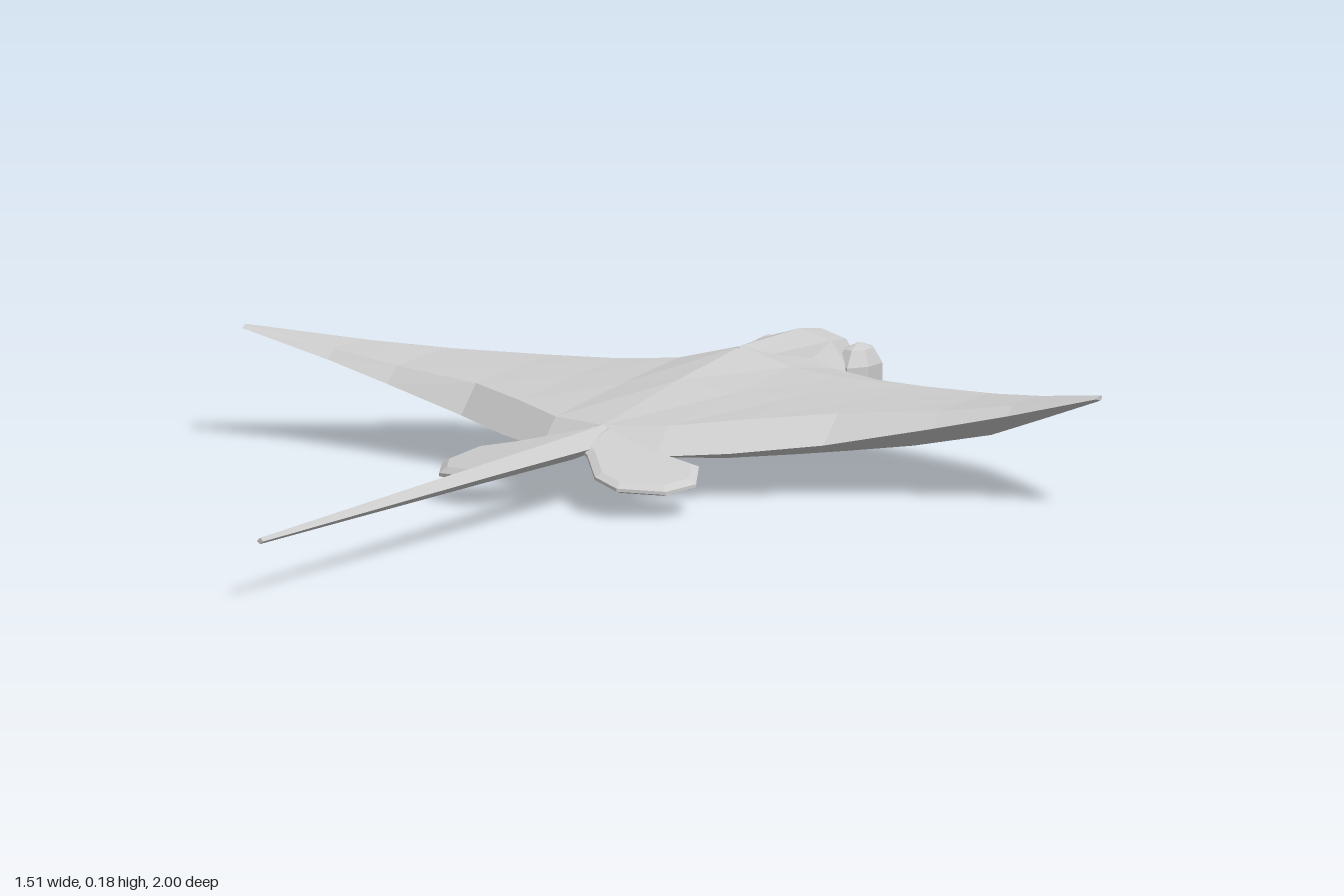
import * as THREE from 'three';

const skin = new THREE.MeshStandardMaterial({ color: 0xcccccc, flatShading: true });
skin.name = 'pale grey skin';

const mix = THREE.MathUtils.lerp;

// Closed skin through rings of [x, y, z] points, counterclockwise seen from the last ring's end
function loft(rings) {
  const n = rings[0].length, pos = [];
  const tri = (a, b, c) => pos.push(...a, ...b, ...c);
  for (let i = 0; i < rings.length - 1; i++) {
    for (let j = 0; j < n; j++) {
      const k = (j + 1) % n, p = rings[i], q = rings[i + 1];
      tri(p[j], p[k], q[j]);
      tri(p[k], q[k], q[j]);
    }
  }
  const first = rings[0], last = rings[rings.length - 1];
  for (let j = 1; j < n - 1; j++) {
    tri(first[0], first[j + 1], first[j]);
    tri(last[0], last[j], last[j + 1]);
  }
  const g = new THREE.BufferGeometry();
  g.setAttribute('position', new THREE.Float32BufferAttribute(pos, 3));
  g.computeVertexNormals();
  return g;
}

// Half-span stations: x, leading z/y, rear crest z/y, trailing z/y, upper y, lower y
const stations = [
  [0, -0.86, 0.09, -0.15, 0.115, -0.1, 0.075, 0.175, 0.005],
  [0.1, -0.81, 0.06, -0.18, 0.117, -0.13, 0.075, 0.152, 0.01],
  [0.2, -0.755, 0.062, -0.25, 0.125, -0.195, 0.078, 0.145, 0.026],
  [0.32, -0.7, 0.075, -0.33, 0.132, -0.28, 0.088, 0.143, 0.045],
  [0.48, -0.62, 0.105, -0.37, 0.142, -0.335, 0.118, 0.147, 0.08],
  [0.6, -0.525, 0.135, -0.385, 0.158, -0.365, 0.143, 0.16, 0.122],
  [0.755, -0.39, 0.18, -0.38, 0.185, -0.37, 0.181, 0.185, 0.177],
];

function wingRing([x, zl, yl, zr, yr, zt, yt, top, bot], side) {
  const X = x * side;
  return [
    [X, yl, zl],
    [X, mix(yl, top, 0.75), mix(zl, zr, 0.12)],
    [X, top, mix(zl, zr, 0.35)],
    [X, mix(top, yr, 0.4), mix(zl, zr, 0.65)],
    [X, yr, zr],
    [X, yt, zt],
    [X, mix(bot, yt, 0.45), mix(zl, zt, 0.65)],
    [X, bot, mix(zl, zt, 0.28)],
  ];
}

// Head sections: z, half width, bottom y, top y
const headSections = [
  [-1, 0.025, 0.06, 0.088],
  [-0.97, 0.045, 0.052, 0.105],
  [-0.92, 0.06, 0.04, 0.138],
  [-0.88, 0.08, 0.028, 0.165],
  [-0.81, 0.1, 0.014, 0.175],
  [-0.6, 0.06, 0.03, 0.175],
];

function headRing([z, w, b, t]) {
  const m = mix(b, t, 0.5);
  return [
    [0, t, z], [-0.55 * w, mix(b, t, 0.9), z], [-w, m, z], [-0.8 * w, mix(b, t, 0.15), z],
    [0, b, z], [0.8 * w, mix(b, t, 0.15), z], [w, m, z], [0.55 * w, mix(b, t, 0.9), z],
  ];
}

// Tail sections: z, half width, bottom y, top y
const tailSections = [
  [-0.24, 0.012, 0.08, 0.118],
  [-0.05, 0.028, 0.075, 0.114],
  [0.25, 0.02, 0.08, 0.11],
  [1, 0.006, 0.09, 0.1],
];

function tailRing([z, w, b, t]) {
  return [[0, t, z], [-w, mix(b, t, 0.45), z], [0, b, z], [w, mix(b, t, 0.45), z]];
}

// Rounded hind fin drooping outwards and backwards
const finOutline = [
  [0.01, -0.15], [0.07, -0.125], [0.13, -0.105], [0.19, -0.095], [0.217, -0.035],
  [0.195, 0.015], [0.13, 0.045], [0.085, 0.025], [0.035, -0.045], [0.01, -0.07],
];

function finGeometry(side) {
  const shape = new THREE.Shape(finOutline.map(([x, z]) => new THREE.Vector2(x * side, z)));
  const g = new THREE.ExtrudeGeometry(shape, {
    depth: 0.005, bevelThickness: 0.006, bevelSize: 0.012, bevelOffset: -0.005, bevelSegments: 1,
  });
  g.rotateX(Math.PI / 2);
  const p = g.attributes.position;
  for (let i = 0; i < p.count; i++) {
    p.setY(i, p.getY(i) + 0.1 - 0.15 * Math.abs(p.getX(i)) - 0.18 * (p.getZ(i) + 0.1));
  }
  g.computeVertexNormals();
  return g;
}

export function createModel() {
  const model = new THREE.Group();
  model.name = 'ray';
  const add = (name, geometry) => {
    const mesh = new THREE.Mesh(geometry, skin);
    mesh.name = name;
    model.add(mesh);
    return mesh;
  };

  // Body and both wings in one span, tip to tip
  const span = [
    ...stations.slice(1).reverse().map((s) => wingRing(s, -1)),
    ...stations.map((s) => wingRing(s, 1)),
  ];
  add('bodyAndWings', loft(span));
  add('head', loft(headSections.map(headRing)));
  add('tail', loft(tailSections.map(tailRing)));

  for (const side of [1, -1]) {
    const label = side > 0 ? 'left' : 'right';
    // Bulging cheek beside the head
    const cheek = add(label + 'Cheek', new THREE.SphereGeometry(1, 7, 5));
    cheek.scale.set(0.034, 0.05, 0.058);
    cheek.position.set(0.08 * side, 0.103, -0.855);
    add(label + 'HindFin', finGeometry(side));
  }
  return model;
}
